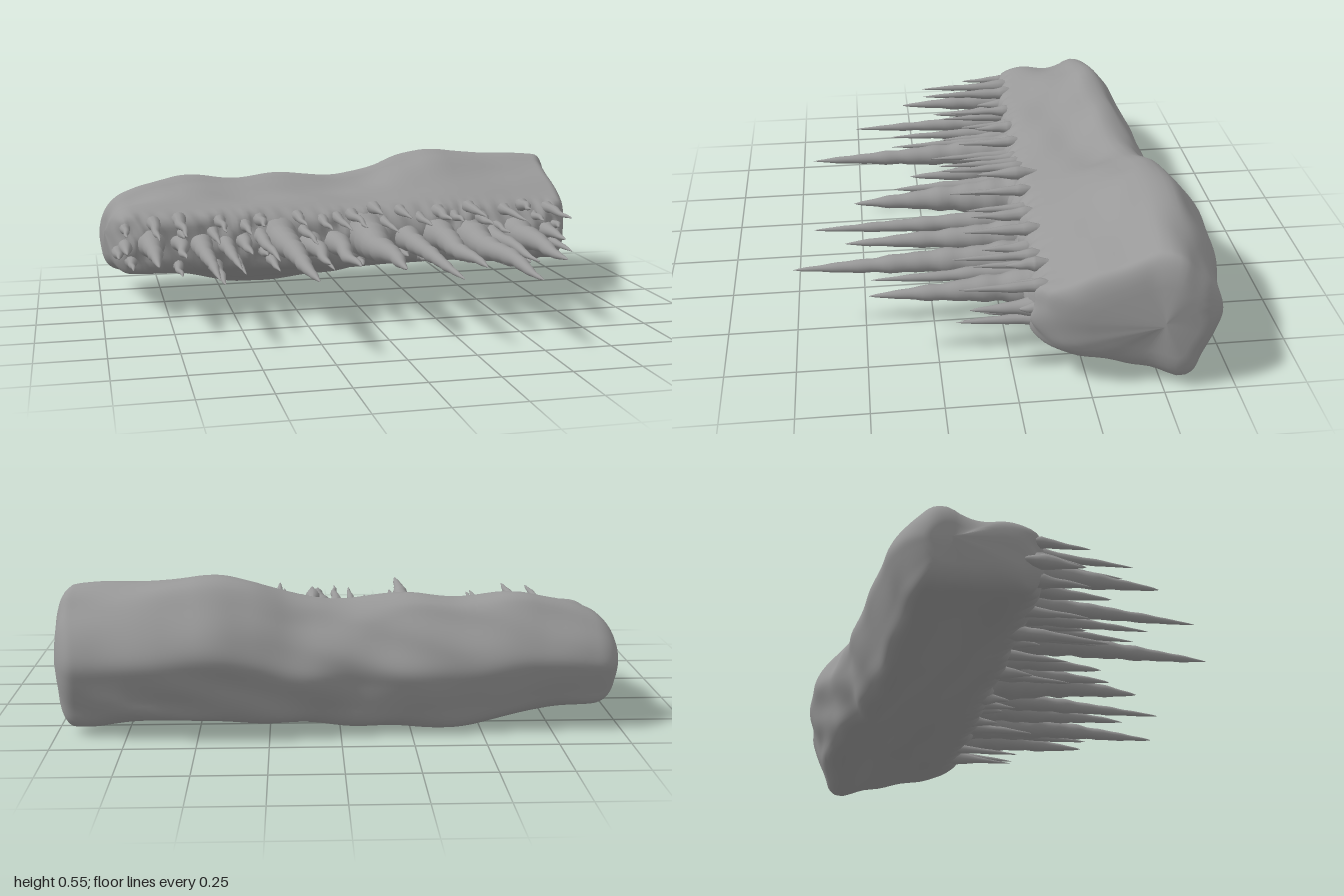
import * as THREE from 'three';

const material = new THREE.MeshStandardMaterial({ color: 0x999999 });
const { lerp, smoothstep, clamp } = THREE.MathUtils;

// Small seeded random generator
let seed = 11;
const random = () => {
  seed = (seed * 16807) % 2147483647;
  return seed / 2147483647;
};
const between = (a, b) => a + (b - a) * random();

// Outline of the slab along its length: [x, top y, bottom y, back z, front z]
const OUTLINE = [
  [-1.0, 0.39, 0.09, -0.62, -0.15], [-0.9, 0.42, 0.08, -0.635, -0.15],
  [-0.8, 0.46, 0.085, -0.64, -0.15], [-0.63, 0.492, 0.05, -0.655, -0.14],
  [-0.45, 0.472, 0.0, -0.668, -0.13], [-0.25, 0.487, 0.01, -0.68, -0.12],
  [0.0, 0.463, 0.028, -0.688, -0.11], [0.15, 0.478, 0.045, -0.708, -0.1],
  [0.25, 0.525, 0.05, -0.725, -0.1], [0.45, 0.572, 0.055, -0.748, -0.09],
  [0.6, 0.55, 0.065, -0.752, -0.08], [0.72, 0.534, 0.055, -0.735, -0.08],
  [0.88, 0.53, 0.025, -0.705, -0.08], [1.0, 0.525, 0.035, -0.68, -0.08],
];

function linear(x, column) {
  x = clamp(x, -1, 1);
  let i = 0;
  while (i < OUTLINE.length - 2 && x > OUTLINE[i + 1][0]) i++;
  const a = OUTLINE[i], b = OUTLINE[i + 1];
  return lerp(a[column], b[column], (x - a[0]) / (b[0] - a[0]));
}
// Averaging neighbours rounds the corners of the outline
function outline(x, column) {
  let sum = 0;
  for (let k = -3; k <= 3; k++) sum += linear(x + k * 0.018, column);
  return sum / 7;
}

// Cross-section as a loop: [front to back, height -1..1]; the lower ridge lies further back
const SECTION = [
  [-0.04, 0], [-0.025, 0.22], [0, 0.4], [0.05, 0.52], [0.2, 0.65], [0.42, 0.78], [0.58, 0.92],
  [0.66, 1], [0.76, 0.94], [0.88, 0.62], [0.965, 0.28],
  [1, 0], [0.98, -0.25], [0.93, -0.6], [0.87, -0.9], [0.8, -1], [0.72, -0.97],
  [0.6, -0.88], [0.42, -0.76], [0.2, -0.65], [0.05, -0.52], [0, -0.4], [-0.025, -0.22],
];

function slabGeometry() {
  const curve = new THREE.CatmullRomCurve3(SECTION.map(([s, t]) => new THREE.Vector3(s, t, 0)), true, 'centripetal');
  const around = 80, along = 150;
  const section = curve.getSpacedPoints(around).slice(0, around);
  const positions = [], index = [];

  for (let i = 0; i <= along; i++) {
    const v = (i / along) * 2 - 1;
    // Stations crowd towards the rounded ends
    const u = 0.5 * v + 0.5 * Math.sin(v * Math.PI / 2);
    const q = Math.min(1, (1 - Math.abs(u)) / (u < 0 ? 0.1 : 0.07));
    const scale = Math.pow(Math.max(0, 1 - Math.pow(1 - q, 2.6)), 1 / 2.6);
    const top = outline(u, 1), bottom = outline(u, 2);
    const back = outline(u, 3), front = outline(u, 4);
    const midZ = front + (back - front) * 0.68;
    for (const p of section) {
      // The front edge stays level while the rest follows the outline
      const follow = smoothstep(p.x, 0, 0.55);
      const midY = lerp(0.265, (top + bottom) / 2, follow);
      let y = midY + p.y * lerp(0.22, (top - bottom) / 2, follow);
      let z = front + (back - front) * p.x;
      // Long soft ripples, broader hollows on the back, drips along the front edge
      const wave = Math.sin(u * 7 + z * 31 + y * 9) * 0.004 + Math.sin(u * 17 - z * 23 + y * 27) * 0.003;
      const hollow = Math.sin(u * 9 + y * 13 + 2 * Math.sin(u * 5)) * 0.006
        + Math.sin(u * 19 - y * 23 + 2 * Math.sin(y * 11 + u * 3)) * 0.004;
      const drip = Math.sin(u * 61 + 2 * Math.sin(u * 13)) * Math.sin(u * 37 + y * 40) * 0.014;
      y += wave * p.y;
      z += hollow * smoothstep(p.x, 0.75, 0.88) + drip * (1 - smoothstep(p.x, 0.02, 0.12));
      y = midY + (y - midY) * scale;
      z = midZ + (z - midZ) * scale;
      // Shoulder behind the ends, then a narrowing towards front and back
      const narrow = 0.03 * smoothstep(z, -0.56, -0.43) + 0.03 * Math.max(0, z + 0.54)
        + 0.5 * Math.max(0, z + 0.22) ** 1.5 + 0.25 * Math.max(0, -0.62 - z);
      positions.push(u * (1 - narrow), Math.max(0, y), z);
    }
  }
  for (let i = 0; i < along; i++) {
    for (let j = 0; j < around; j++) {
      const k = (j + 1) % around;
      const a = i * around + j, d = i * around + k;
      index.push(a, a + around, d, a + around, d + around, d);
    }
  }
  const geometry = new THREE.BufferGeometry();
  geometry.setAttribute('position', new THREE.Float32BufferAttribute(positions, 3));
  geometry.setIndex(index);
  geometry.computeVertexNormals();
  return geometry;
}

// Lumpy, slightly crooked spike pointing to +z, with a long closed root behind z = 0
function icicleGeometry(length, radius, sides) {
  const rings = Math.max(12, Math.round(length * 44));
  const phase = between(0, 6), bend = between(-1, 1) * radius * 0.25;
  const points = [[0, -5], [0.45, -3], [0.95, -1.2]].map(([r, h]) => new THREE.Vector2(r * radius, h * radius));
  for (let i = 0; i <= rings; i++) {
    const t = i / rings;
    const taper = Math.pow(1 - t, 0.72) + 0.3 * Math.exp(-t * length / (radius * 1.6));
    const lumps = 1 + 0.06 * Math.sin(t * length * 62 + phase) + 0.05 * Math.sin(t * length * 35 + phase * 2);
    points.push(new THREE.Vector2(i === rings ? 0 : radius * taper * lumps, t * length));
  }
  const geometry = new THREE.LatheGeometry(points, sides);
  geometry.rotateX(Math.PI / 2);
  const p = geometry.attributes.position;
  for (let i = 0; i < p.count; i++) {
    const t = Math.max(0, p.getZ(i) / length), sway = t * (1 - t);
    p.setX(i, p.getX(i) + bend * Math.sin(t * 9 + phase) * sway * 4);
    p.setY(i, p.getY(i) + bend * Math.cos(t * 7 + phase) * sway * 3);
  }
  return geometry;
}

// Main icicles: [x, y, tip z, radius]
const ICICLES = [
  [-0.8, 0.27, 0.295, 0.043], [-0.69, 0.27, 0.16, 0.03], [-0.605, 0.26, 0.505, 0.038],
  [-0.51, 0.26, 0.36, 0.03], [-0.44, 0.27, 0.15, 0.028], [-0.37, 0.285, 0.36, 0.028],
  [-0.29, 0.28, 0.685, 0.056], [-0.17, 0.25, 0.295, 0.043], [-0.07, 0.25, 0.365, 0.043],
  [0.06, 0.27, 0.525, 0.07], [0.225, 0.26, 0.68, 0.044], [0.35, 0.27, 0.565, 0.054],
  [0.49, 0.26, 0.75, 0.059], [0.585, 0.26, 0.475, 0.034], [0.69, 0.265, 0.485, 0.055],
  [0.82, 0.27, 0.15, 0.03], [-0.9, 0.26, 0.0, 0.025],
];

// Small icicles around the main ones: [x, y]
const SMALL = [
  [-0.93, 0.24], [-0.9, 0.33], [-0.88, 0.2], [-0.79, 0.35], [-0.7, 0.18], [-0.69, 0.36], [-0.68, 0.31],
  [-0.56, 0.31], [-0.55, 0.17], [-0.53, 0.35], [-0.47, 0.2], [-0.43, 0.33], [-0.37, 0.35], [-0.36, 0.23],
  [-0.33, 0.19], [-0.22, 0.36], [-0.2, 0.31], [-0.2, 0.18], [-0.13, 0.2], [-0.12, 0.34], [-0.06, 0.35],
  [0, 0.36], [0.03, 0.17], [0.09, 0.385], [0.13, 0.33], [0.14, 0.19], [0.2, 0.37], [0.21, 0.2],
  [0.28, 0.34], [0.29, 0.18], [0.36, 0.36], [0.41, 0.2], [0.43, 0.34], [0.49, 0.375], [0.54, 0.33],
  [0.59, 0.17], [0.6, 0.3], [0.64, 0.36], [0.7, 0.17], [0.72, 0.375], [0.77, 0.33], [0.78, 0.2],
  [0.83, 0.36], [0.83, 0.23], [0.86, 0.29],
];

export function createModel() {
  const group = new THREE.Group();

  const slab = new THREE.Mesh(slabGeometry(), material);
  slab.name = 'iceSlab';
  group.add(slab);

  const addIcicle = (name, x, y, tip, radius, sides) => {
    const root = outline(x, 4) - 0.01;
    const mesh = new THREE.Mesh(icicleGeometry(tip - root, radius, sides), material);
    mesh.position.set(x, y, root);
    mesh.name = name;
    group.add(mesh);
  };
  for (const [x, y, tip, radius] of ICICLES) addIcicle('icicle', x, y, tip, radius, 20);
  for (const [x, y] of SMALL) {
    const reach = Math.abs(x) > 0.85 ? 0.02 : 0.22;
    addIcicle('smallIcicle', x, y, between(-0.03, reach), between(0.017, 0.025), 10);
  }
  return group;
}
